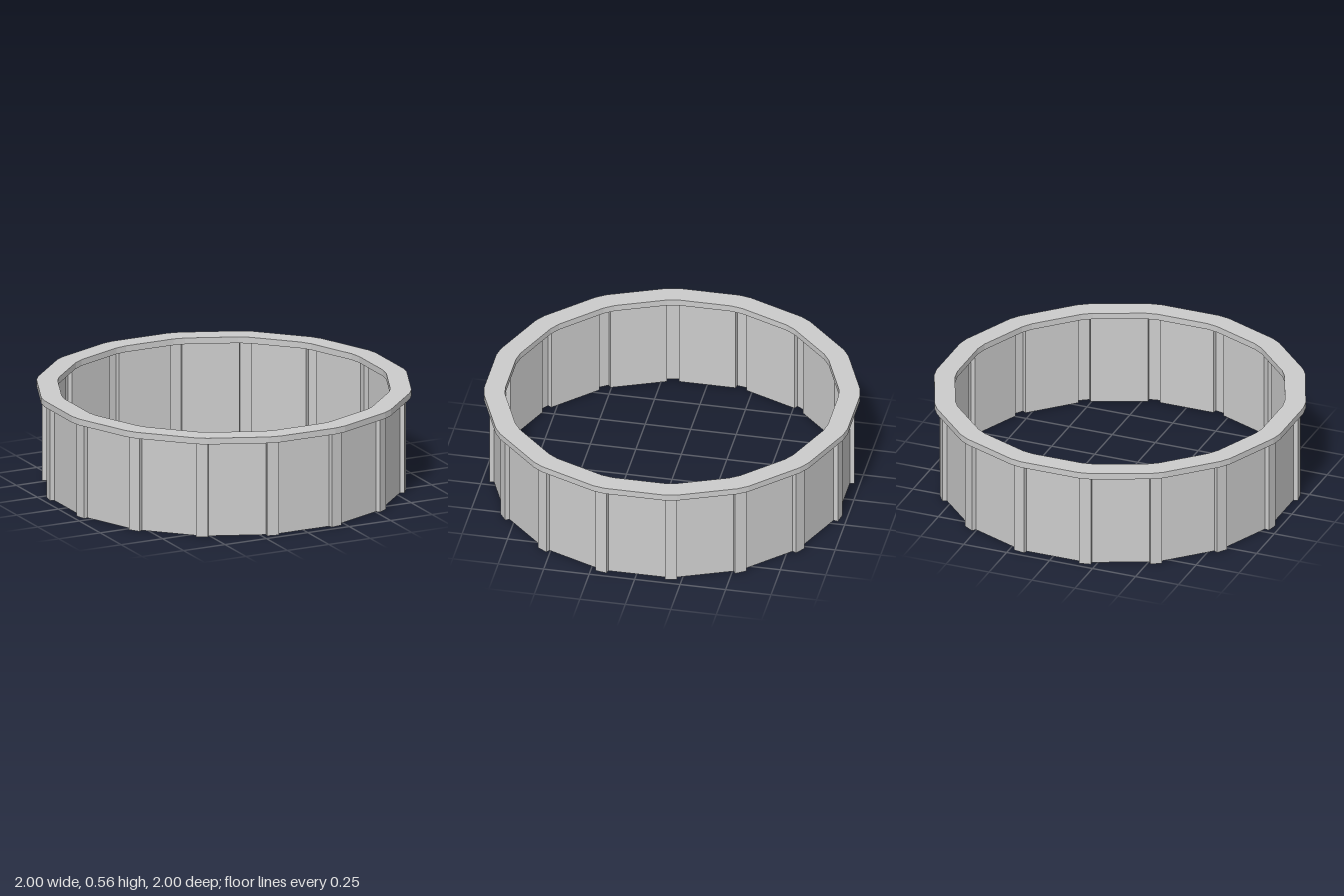
import * as THREE from 'three';

const SIDES = 16;
const RIB_HALF = 0.0325; // half width of each corner rib
const RIM_BOTTOM = 0.53, RIM_TOP = 0.565;

// Closed outline: at each corner, the given [radius, sideways offset] points in order.
function outline(cornerPoints) {
  const points = [];
  for (let i = 0; i < SIDES; i++) {
    const a = ((i + 0.5) / SIDES) * Math.PI * 2;
    const c = Math.cos(a), s = Math.sin(a);
    for (const [r, t] of cornerPoints) points.push(new THREE.Vector2(r * c - t * s, r * s + t * c));
  }
  return points;
}

const bevelled = (r) => outline([[r, -RIB_HALF], [r, RIB_HALF]]);

// Upright sheet that follows an outline
function sheetWall(points, bottom, top) {
  const positions = [];
  points.forEach((p, i) => {
    const q = points[(i + 1) % points.length];
    const a = [p.x, bottom, -p.y], b = [q.x, bottom, -q.y];
    const c = [q.x, top, -q.y], d = [p.x, top, -p.y];
    positions.push(...a, ...b, ...c, ...a, ...c, ...d);
  });
  const geometry = new THREE.BufferGeometry();
  geometry.setAttribute('position', new THREE.Float32BufferAttribute(positions, 3));
  geometry.computeVertexNormals();
  return geometry;
}

export function createModel() {
  const group = new THREE.Group();
  group.name = 'ringWall';
  const grey = new THREE.MeshStandardMaterial({ color: 0xcccccc, side: THREE.DoubleSide });
  grey.name = 'light grey';

  // Folded wall: flat panels with ribs pushed outward at the corners
  const inner = 0.958, outer = 0.983;
  const folds = outline([[inner, -RIB_HALF], [outer, -RIB_HALF], [outer, RIB_HALF], [inner, RIB_HALF]]);
  const wall = new THREE.Mesh(sheetWall(folds, 0, RIM_BOTTOM), grey);
  wall.name = 'ribbedWall';
  group.add(wall);

  // Flat rim on top
  const shape = new THREE.Shape(bevelled(1.013));
  shape.holes.push(new THREE.Path(bevelled(0.898)));
  const rimGeometry = new THREE.ExtrudeGeometry(shape, { depth: RIM_TOP - RIM_BOTTOM, bevelEnabled: false });
  rimGeometry.rotateX(-Math.PI / 2);
  rimGeometry.translate(0, RIM_BOTTOM, 0);
  const rim = new THREE.Mesh(rimGeometry, grey);
  rim.name = 'topRim';
  group.add(rim);

  return group;
}
